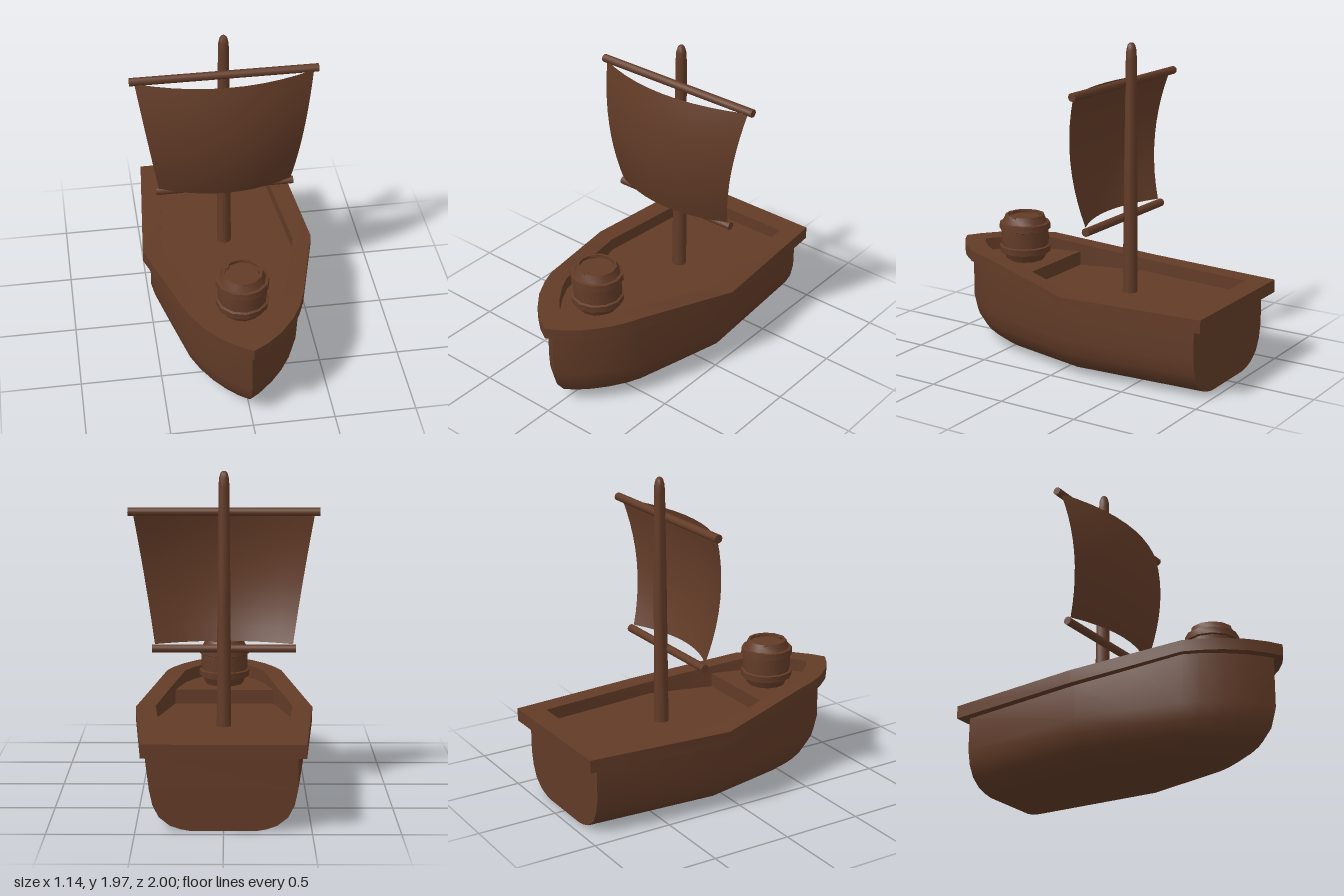
import * as THREE from 'three';
import { toCreasedNormals } from 'three/addons/utils/BufferGeometryUtils.js';

const wood = new THREE.MeshStandardMaterial({ color: 0x623b27 });
wood.name = 'brown wood';
const cloth = new THREE.MeshStandardMaterial({ color: 0x623b27, side: THREE.DoubleSide });
cloth.name = 'brown cloth';

// Half outlines [x, z] from the stern to the bow
const HULL = [[0.42, -0.935], [0.495, -0.1], [0.415, 0.22], [0.335, 0.53], [0.295, 0.62],
  [0.225, 0.73], [0.15, 0.82], [0.07, 0.895], [0, 0.94]];
const OUTER = [[0.465, -1], [0.54, -0.1], [0.455, 0.225], [0.37, 0.55], [0.33, 0.65],
  [0.27, 0.76], [0.18, 0.87], [0.085, 0.95], [0, 1]];
const INNER = [[0.35, -0.86], [0.42, -0.08], [0.34, 0.22], [0.255, 0.53], [0.21, 0.62],
  [0.14, 0.72], [0.085, 0.78], [0.04, 0.82], [0, 0.845]];

const DECK_Y = 0.44, FOREDECK_Y = 0.53, FOREDECK_Z = 0.32;
const MAST_Z = -0.25, YARD_Z = -0.207;

// Sheer line: flat aft, rising to the bow
const rise = z => THREE.MathUtils.clamp((z + 0.08) / 0.61, 0, 1);
const rimTop = z => 0.52 + 0.09 * rise(z);
const rimBottom = z => 0.44 + 0.1 * rise(z);

// Mirror a half outline into a closed loop
const mirror = half => [...half, ...half.slice(0, -1).reverse().map(([x, z]) => [-x, z])];
const ring = (half, height) => mirror(half).map(([x, z]) => [x, height(z), z]);

// Skin a series of equal rings, optionally closing the first one
function loft(rings, closeFirst, crease) {
  const n = rings[0].length, index = [];
  for (let l = 0; l < rings.length - 1; l++) {
    for (let i = 0; i < n; i++) {
      const a = l * n + i, b = l * n + (i + 1) % n;
      index.push(a, b + n, b, a, a + n, b + n);
    }
  }
  if (closeFirst) for (let i = 1; i < n - 1; i++) index.push(0, i, i + 1);
  const geo = new THREE.BufferGeometry();
  geo.setAttribute('position', new THREE.Float32BufferAttribute(rings.flat(2), 3));
  geo.setIndex(index);
  return toCreasedNormals(geo, crease);
}

function outlineShape(points) {
  return new THREE.Shape(points.map(([x, z]) => new THREE.Vector2(x, -z)));
}

function add(parent, name, geometry, material = wood) {
  const mesh = new THREE.Mesh(geometry, material);
  mesh.name = name;
  parent.add(mesh);
  return mesh;
}

function buildHull(group) {
  // Bilge levels: height, width factor, bow position
  const levels = [[0, 0.45, 0.62], [0.01, 0.58, 0.69], [0.03, 0.72, 0.77],
    [0.08, 0.87, 0.86], [0.15, 0.955, 0.915], [0.24, 1, 0.94]];
  const rings = levels.map(([y, k, bow]) => ring(
    HULL.map(([x, z]) => [x * k, z > -0.1 ? -0.1 + (z + 0.1) * (bow + 0.1) / 1.04 : z]), () => y));
  rings.push(ring(HULL, rimBottom));
  add(group, 'hull', loft(rings, true, 0.7));

  // Overhanging rim with the inner bulwark
  add(group, 'rim', loft([ring(HULL, rimBottom), ring(OUTER, rimBottom), ring(OUTER, rimTop),
    ring(INNER, rimTop), ring(INNER, () => DECK_Y)], false, 0.4));

  add(group, 'deck', new THREE.ShapeGeometry(outlineShape(mirror(INNER))).rotateX(-Math.PI / 2))
    .position.y = DECK_Y;

  const fore = [[0.312, FOREDECK_Z], ...INNER.filter(p => p[1] > FOREDECK_Z)];
  add(group, 'foredeck', new THREE.ExtrudeGeometry(outlineShape(mirror(fore)),
    { depth: FOREDECK_Y - DECK_Y, bevelEnabled: false }).rotateX(-Math.PI / 2)).position.y = DECK_Y;
}

function lathe(points, segments, crease) {
  const profile = points.map(([r, y]) => new THREE.Vector2(r, y));
  return toCreasedNormals(new THREE.LatheGeometry(profile, segments), crease);
}

function buildBarrel(group) {
  const barrel = new THREE.Group();
  barrel.name = 'barrel';
  barrel.position.set(0, FOREDECK_Y, 0.535);
  group.add(barrel);
  // Staves, two hoops and a recessed lid
  add(barrel, 'barrelBody', lathe([[0, 0], [0.12, 0], [0.142, 0.05], [0.16, 0.05], [0.163, 0.09],
    [0.149, 0.095], [0.151, 0.145], [0.149, 0.195], [0.163, 0.2], [0.16, 0.24], [0.142, 0.243],
    [0.122, 0.29], [0.108, 0.29], [0.108, 0.27], [0, 0.27]], 12, 0.6));
  // Small lid cleats
  for (const angle of [0, 1.6, 4.1]) {
    const cleat = add(barrel, 'lidCleat', new THREE.BoxGeometry(0.03, 0.015, 0.03));
    cleat.position.set(Math.sin(angle) * 0.108, 0.281, Math.cos(angle) * 0.108);
    cleat.rotation.y = angle;
  }
}

function buildRig(group) {
  add(group, 'mast', lathe([[0.045, DECK_Y], [0.04, 1.2], [0.033, 1.88], [0.03, 1.93],
    [0.022, 1.96], [0.012, 1.972], [0, 1.973]], 14, 0.9)).position.z = MAST_Z;

  for (const [name, y, length] of [['upperYard', 1.728, 1.14], ['lowerYard', 0.905, 0.865]]) {
    const yard = add(group, name, toCreasedNormals(
      new THREE.CylinderGeometry(0.025, 0.025, length, 12).rotateZ(Math.PI / 2), 0.8));
    yard.position.set(0, y, YARD_Z);
  }

  // Tapered sail bulging forward
  const sail = new THREE.PlaneGeometry(2, 2, 10, 10);
  const p = sail.attributes.position;
  for (let i = 0; i < p.count; i++) {
    const u = p.getX(i), v = p.getY(i);
    p.setXYZ(i, u * (0.4775 + 0.0625 * v), 1.325 + 0.395 * v,
      -0.197 + (0.112 + 0.01 * v) * (1 - u * u) + 0.063 * (1 - v * v));
  }
  sail.computeVertexNormals();
  add(group, 'sail', sail, cloth);
}

export function createModel() {
  const group = new THREE.Group();
  group.name = 'sailboat';
  buildHull(group);
  buildBarrel(group);
  buildRig(group);
  return group;
}
